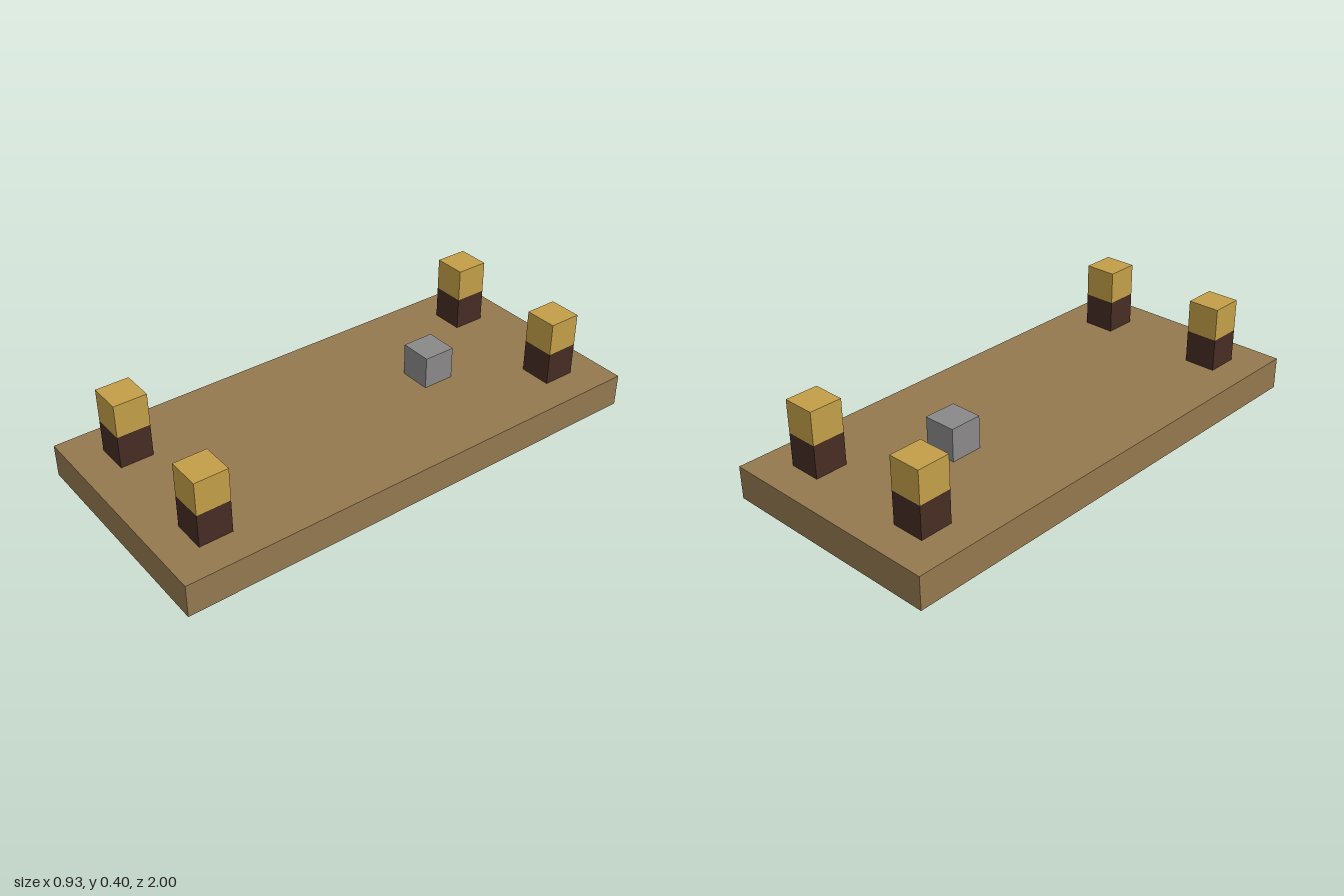
import * as THREE from 'three';

const U = 2 / 15; // one block edge

export function createModel() {
  const model = new THREE.Group();
  model.name = 'boardWithPosts';

  const flat = (name, color) => {
    const material = new THREE.MeshStandardMaterial({ color });
    material.name = name;
    return material;
  };
  const wood = flat('wood', 0x94784f);
  const darkWood = flat('darkWood', 0x462c23);
  const gold = flat('gold', 0xc29e48);
  const grey = flat('grey', 0x8a8888);

  // Box standing on height y, all measured in block units
  const block = (name, material, w, h, d, x, y, z, parent = model) => {
    const mesh = new THREE.Mesh(new THREE.BoxGeometry(w * U, h * U, d * U), material);
    mesh.name = name;
    mesh.position.set(x * U, (y + h / 2) * U, z * U);
    parent.add(mesh);
  };

  // Base board and the single grey block towards the back
  block('board', wood, 7, 1, 15, 0, 0, 0);
  block('greyBlock', grey, 1, 1, 1, 0, 1, -3);

  // Four corner posts: dark lower half, gold upper half
  for (const sx of [-1, 1]) {
    for (const sz of [-1, 1]) {
      const post = new THREE.Group();
      post.name = (sz > 0 ? 'front' : 'back') + (sx > 0 ? 'Left' : 'Right') + 'Post';
      block('postBase', darkWood, 1, 1, 1, sx * 2, 1, sz * 6, post);
      block('postTop', gold, 1, 1, 1, sx * 2, 2, sz * 6, post);
      model.add(post);
    }
  }

  return model;
}
